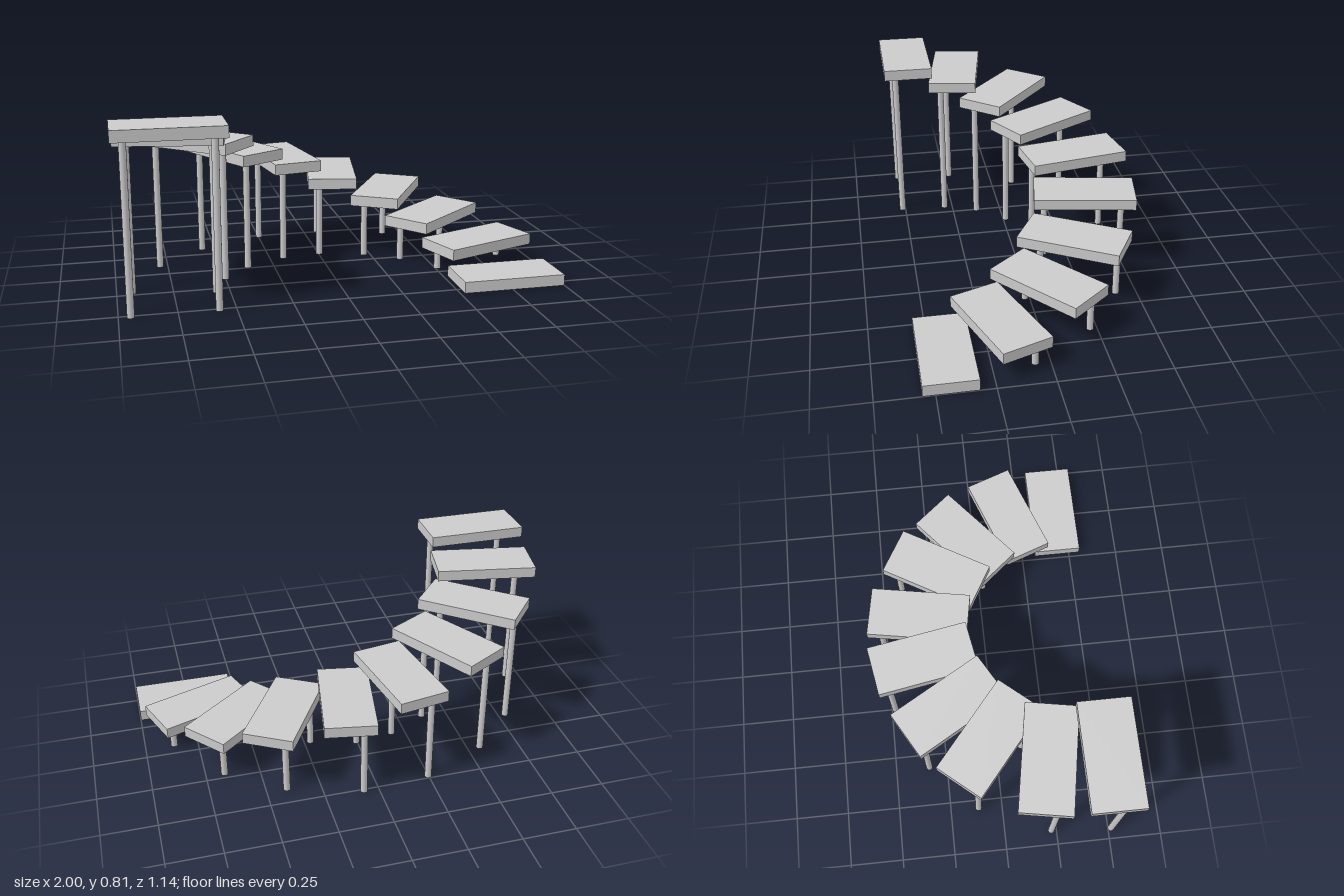
import * as THREE from 'three';

// Tread size, post radius, and post offset from the tread centre (along, behind)
const LENGTH = 0.478, THICK = 0.052, WIDTH = 0.236;
const POST_R = 0.016, POST_ALONG = 0.187, POST_BEHIND = -0.063;

// Each step: [x, z, underside height, turn in degrees]
const STEPS = [
  [0.76, 0.436, 0, 0],
  [0.708, 0.19, 0.095, 20],
  [0.56, -0.05, 0.171, 40],
  [0.367, -0.21, 0.262, 60],
  [0.099, -0.314, 0.345, 80],
  [-0.153, -0.31, 0.436, 100],
  [-0.413, -0.207, 0.512, 120],
  [-0.602, -0.043, 0.603, 140],
  [-0.735, 0.196, 0.682, 170],
  [-0.761, 0.452, 0.76, 180],
];

export function createModel() {
  const group = new THREE.Group();
  group.name = 'curvedStair';
  const material = new THREE.MeshStandardMaterial({ color: 0xcccccc });
  const treadGeometry = new THREE.BoxGeometry(LENGTH, THICK, WIDTH);

  STEPS.forEach(([x, z, underside, turn], i) => {
    const step = new THREE.Group();
    step.name = `step${i + 1}`;
    step.position.set(x, 0, z);
    step.rotation.y = THREE.MathUtils.degToRad(turn);

    // Slab
    const tread = new THREE.Mesh(treadGeometry, material);
    tread.name = 'tread';
    tread.position.y = underside + THICK / 2;
    step.add(tread);

    // Two round posts down to the ground; the lowest slab lies on the ground
    if (underside > 0) {
      for (const side of [-1, 1]) {
        const post = new THREE.Mesh(
          new THREE.CylinderGeometry(POST_R, POST_R, underside, 20), material);
        post.name = side > 0 ? 'outerPost' : 'innerPost';
        post.position.set(side * POST_ALONG, underside / 2, POST_BEHIND);
        step.add(post);
      }
    }
    group.add(step);
  });
  return group;
}
